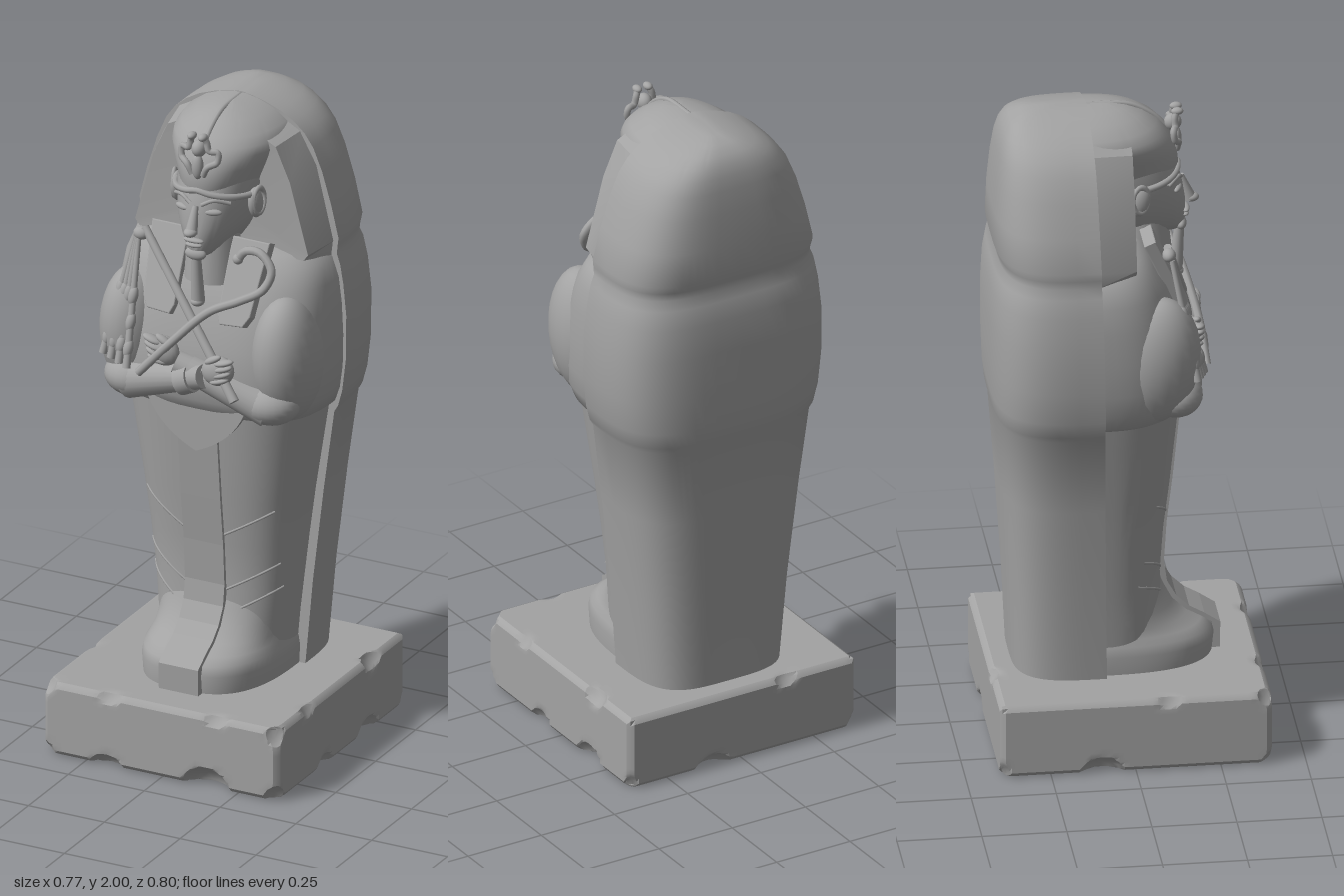
import * as THREE from 'three';
import { toCreasedNormals } from 'three/addons/utils/BufferGeometryUtils.js';

const stone = new THREE.MeshStandardMaterial({ color: 0xa3a3a3 });
stone.name = 'grey stone';
const V = (x, y, z) => new THREE.Vector3(x, y, z);

function add(parent, name, geo, pos = [0, 0, 0], scale = [1, 1, 1], rot = [0, 0, 0]) {
  const m = new THREE.Mesh(geo, stone);
  m.name = name;
  m.position.set(...pos);
  m.scale.set(...scale);
  m.rotation.set(...rot);
  parent.add(m);
  return m;
}

// Half superellipse sections stacked in y, closed by a flat face at the seam.
// rows: [y, half width, z of the far side]; seam(y) gives the flat face's z.
function halfLoft(rows, seam, power, n = 40) {
  const pos = [], idx = [], w = n + 1, flip = rows[0][2] < seam(rows[0][0]);
  const tri = (a, b, c) => flip ? idx.push(a, c, b) : idx.push(a, b, c);
  for (const [y, hw, z] of rows) {
    for (let i = 0; i <= n; i++) {
      const c = Math.cos(Math.PI * i / n), s = Math.max(0, Math.sin(Math.PI * i / n));
      pos.push(hw * Math.sign(c) * Math.abs(c) ** (2 / power), y, seam(y) + (z - seam(y)) * s ** (2 / power));
    }
  }
  for (let r = 0; r < rows.length - 1; r++) {
    for (let i = 0; i < w; i++) {
      const j = (i + 1) % w, a = r * w + i, b = r * w + j;
      tri(a, a + w, b);
      tri(b, a + w, b + w);
    }
  }
  [0, rows.length - 1].forEach((r, top) => {
    const c = pos.length / 3, [y, , z] = rows[r];
    pos.push(0, y, (seam(y) + z) / 2);
    for (let i = 0; i < w; i++) {
      const a = r * w + i, b = r * w + (i + 1) % w;
      top ? tri(c, b, a) : tri(c, a, b);
    }
  });
  const g = new THREE.BufferGeometry();
  g.setAttribute('position', new THREE.Float32BufferAttribute(pos, 3));
  g.setIndex(idx);
  return toCreasedNormals(g, 0.75);
}

const tube = (pts, r, seg = 24) =>
  new THREE.TubeGeometry(new THREE.CatmullRomCurve3(pts.map(p => V(...p))), seg, r, 8);
const ball = new THREE.SphereGeometry(1, 24, 16);

// Tapered limb between two points
function limb(parent, name, a, b, ra, rb) {
  const A = V(...a), B = V(...b), d = B.clone().sub(A);
  const m = add(parent, name, new THREE.CylinderGeometry(rb, ra, d.length(), 20), A.clone().add(B).multiplyScalar(0.5).toArray());
  m.quaternion.setFromUnitVectors(V(0, 1, 0), d.normalize());
  return m;
}

// Slab with scooped chips along its edges
function plinth() {
  const g = new THREE.BoxGeometry(0.775, 0.23, 0.8, 48, 14, 48), p = g.attributes.position;
  const chips = [ // x, y, z, radius
    [-0.4, 0.24, 0.41, 0.06], [0.41, 0.23, 0.42, 0.07], [-0.4, -0.01, 0.42, 0.06], [0.4, -0.01, 0.42, 0.07],
    [-0.18, -0.03, 0.43, 0.075], [0.15, -0.02, 0.43, 0.09], [-0.17, 0.25, 0.43, 0.06], [0.18, 0.25, 0.43, 0.06],
    [0.42, 0.25, 0.2, 0.06], [0.42, 0.25, -0.2, 0.07], [0.42, -0.02, -0.17, 0.08], [0.42, -0.02, 0.1, 0.07],
    [-0.42, 0.25, 0.1, 0.06], [-0.42, -0.02, -0.1, 0.08], [-0.15, 0.25, -0.43, 0.06], [0.1, -0.03, -0.43, 0.08],
    [0.41, 0.0, -0.42, 0.06], [-0.41, 0.0, -0.42, 0.06]];
  const v = V(0, 0, 0);
  for (let i = 0; i < p.count; i++) {
    v.fromBufferAttribute(p, i);
    v.y += 0.115;
    // worn edges
    const e = [0.3875 - Math.abs(v.x), 0.115 - Math.abs(v.y - 0.115), 0.4 - Math.abs(v.z)].filter(d => d < 0.006).length;
    if (e > 1) v.set(v.x * 0.982, 0.115 + (v.y - 0.115) * 0.95, v.z * 0.982);
    for (const [x, y, z, r] of chips) {
      const c = V(x, y, z), d = v.distanceTo(c);
      if (d < r) v.sub(c).multiplyScalar(r / d).add(c);
    }
    v.y = THREE.MathUtils.clamp(v.y, 0, 0.23);
    p.setXYZ(i, v.x, v.y, v.z);
  }
  return toCreasedNormals(g, 0.5);
}

export function createModel() {
  const model = new THREE.Group();
  model.name = 'sarcophagus';
  add(model, 'plinth', plinth());

  // Back shell
  const seam = y => -0.063 - 0.0195 * y;
  add(model, 'backShell', halfLoft([
    [0.22, 0.232, -0.33], [0.5, 0.255, -0.343], [0.8, 0.288, -0.362], [1.05, 0.32, -0.38], [1.07, 0.332, -0.388],
    [1.12, 0.345, -0.393], [1.22, 0.356, -0.396], [1.36, 0.356, -0.397], [1.46, 0.345, -0.392], [1.52, 0.334, -0.382],
    [1.55, 0.323, -0.37], [1.575, 0.325, -0.374], [1.6, 0.328, -0.384], [1.7, 0.303, -0.381], [1.8, 0.272, -0.373],
    [1.87, 0.242, -0.364], [1.91, 0.213, -0.355], [1.94, 0.178, -0.343], [1.965, 0.135, -0.325], [1.985, 0.08, -0.295],
    [1.995, 0.04, -0.26], [2, 0.008, -0.2]], seam, 3.6));

  // Wrapped legs and feet
  const inner = y => seam(y) - 0.015;
  const legRows = [[0.22, 0.2, 0.12], [0.4, 0.215, 0.118], [0.5, 0.226, 0.11], [0.65, 0.243, 0.12],
    [0.8, 0.262, 0.138], [1, 0.292, 0.158], [1.12, 0.31, 0.17]];
  add(model, 'legs', halfLoft(legRows, inner, 2.9));
  add(model, 'feet', halfLoft([[0.22, 0.212, 0.265], [0.285, 0.215, 0.272], [0.315, 0.21, 0.265], [0.335, 0.2, 0.235],
    [0.36, 0.197, 0.19], [0.4, 0.198, 0.148], [0.45, 0.2, 0.122], [0.5, 0.2, 0.1]], inner, 2.8));

  // Central strip running down the legs and over the feet
  const front = [[0.285, 0.225], [0.287, 0.312], [0.24, 0.344], [0.195, 0.37], [0.158, 0.405], [0.13, 0.455], [0.121, 0.52],
    [0.129, 0.65], [0.147, 0.8], [0.167, 1], [0.172, 1.08]];
  const strip = new THREE.Shape([...front, [0.05, 1.08], [0.05, 0.225]].map(q => new THREE.Vector2(...q)));
  add(model, 'centreStrip', new THREE.ExtrudeGeometry(strip, { depth: 0.13, bevelEnabled: false }),
    [0.065, 0, 0], [1, 1, 1], [0, -Math.PI / 2, 0]).scale.x = 1;

  // Fine wrapping seams across the legs
  const legZ = (x, y) => {
    const k = Math.max(1, legRows.findIndex(r => r[0] >= y)), a = legRows[k - 1], b = legRows[k], t = (y - a[0]) / (b[0] - a[0]);
    const hw = a[1] + t * (b[1] - a[1]), z = a[2] + t * (b[2] - a[2]), s = inner(y);
    return s + (z - s) * Math.max(0, 1 - (Math.abs(x) / hw) ** 2.9) ** (1 / 2.9);
  };
  for (const s of [-1, 1]) for (const y of [0.42, 0.5, 0.68]) {
    const pts = [];
    for (let i = 0; i <= 8; i++) {
      const x = 0.06 + 0.15 * i / 8, yy = y + 0.09 * i / 8;
      pts.push([s * x, yy, legZ(x, yy) - 0.001]);
    }
    add(model, 'wrappingSeam', tube(pts, 0.004));
  }

  // Chest and shoulders
  add(model, 'torso', halfLoft([[1.065, 0.295, 0.14], [1.085, 0.322, 0.172], [1.13, 0.337, 0.194], [1.2, 0.346, 0.2],
    [1.3, 0.347, 0.185], [1.4, 0.341, 0.158], [1.48, 0.33, 0.126], [1.54, 0.308, 0.09], [1.57, 0.27, 0.06], [1.59, 0.2, 0.03]],
  inner, 3));
  const apron = new THREE.Shape();
  apron.moveTo(-0.16, 1.11);
  apron.quadraticCurveTo(-0.12, 1.01, 0, 0.96);
  apron.quadraticCurveTo(0.12, 1.01, 0.16, 1.11);
  add(model, 'apron', new THREE.ExtrudeGeometry(apron, { depth: 0.05, bevelEnabled: false }), [0, 0, 0.127]);

  // Crossed arms with fists
  for (const s of [-1, 1]) {
    const arm = new THREE.Group();
    arm.name = s < 0 ? 'rightArm' : 'leftArm';
    model.add(arm);
    const dz = s < 0 ? 0.012 : -0.006, dy = s < 0 ? -0.01 : 0.01;
    add(arm, 'upperArm', ball, [s * 0.25, 1.27, 0.075], [0.1, 0.2, 0.13], [0.12, 0, 0]);
    add(arm, 'elbow', ball, [s * 0.225, 1.145, 0.135], [0.09, 0.065, 0.08]);
    const wrist = [-s * 0.05, 1.235 + dy, 0.208 + dz];
    limb(arm, 'forearm', [s * 0.23, 1.135, 0.15], wrist, 0.06, 0.036);
    limb(arm, 'bracelet', [s * 0.03, 1.205 + dy, 0.199 + dz], [-s * 0.01, 1.221 + dy, 0.203 + dz], 0.046, 0.043);
    add(arm, 'fist', ball, [-s * 0.095, 1.262 + dy, 0.206 + dz], [0.052, 0.046, 0.032], [0, 0, -s * 0.4]);
    for (let i = 0; i < 4; i++) {
      add(arm, 'finger', ball, [-s * (0.122 - i * 0.005), 1.298 + dy - i * 0.02, 0.222 + dz], [0.032, 0.0105, 0.018], [0, 0, -s * 0.3]);
    }
    add(arm, 'thumb', ball, [-s * 0.085, 1.3 + dy, 0.22 + dz], [0.03, 0.011, 0.014], [0, 0, -s * 0.5]);
  }

  // Flail and crook
  limb(model, 'flailHandle', [0.16, 1.175, 0.24], [-0.2, 1.61, 0.115], 0.015, 0.012);
  add(model, 'flailJoint', ball, [-0.21, 1.59, 0.118], [0.025, 0.02, 0.02]);
  for (let i = 0; i < 4; i++) {
    const a = [-0.215 - i * 0.004, 1.58, 0.125], b = [-0.205 - i * 0.031, 1.2 + i * 0.006, 0.222 - i * 0.01];
    limb(model, 'flailStrand', a, b, 0.008, 0.012);
    for (const t of [0.45, 0.65, 0.85]) {
      add(model, 'flailBead', ball, a.map((c, k) => c + (b[k] - c) * t), [0.015, 0.03, 0.015], [-0.25, 0, -0.1]);
    }
  }
  add(model, 'crook', tube([[-0.16, 1.2, 0.235], [-0.06, 1.31, 0.222], [0.05, 1.42, 0.19], [0.14, 1.465, 0.168], [0.205, 1.505, 0.145],
    [0.222, 1.56, 0.125], [0.18, 1.605, 0.115], [0.13, 1.6, 0.112], [0.105, 1.57, 0.112]], 0.013, 48));
  add(model, 'crookTip', ball, [0.105, 1.57, 0.112], [0.016, 0.016, 0.016]);

  // Headcloth: side wings, lappets and domed cap
  const wing = (z, pts) => pts.map(([x, y]) => [x, y, z]);
  const outer = wing(-0.11, [[0.31, 1.54], [0.315, 1.59], [0.255, 1.82], [0.2, 1.915], [0.1, 1.97], [0, 1.985]]);
  const face = wing(0.015, [[0.27, 1.56], [0.285, 1.58], [0.225, 1.8], [0.178, 1.905], [0.08, 1.955], [0, 1.965]]);
  const loop = half => [...half, ...half.slice(0, -1).reverse().map(([x, y, z]) => [-x, y, z])];
  const A = loop(outer), B = loop(face), n = A.length, wp = [], put = (...q) => q.forEach(p => wp.push(...p));
  for (let i = 0; i < n; i++) {
    const j = (i + 1) % n;
    put(A[i], A[j], B[i], A[j], B[j], B[i], [0, 1.7, 0.0], B[i], B[j]);
  }
  const wingGeo = new THREE.BufferGeometry();
  wingGeo.setAttribute('position', new THREE.Float32BufferAttribute(wp, 3));
  add(model, 'headclothWings', toCreasedNormals(wingGeo, 0.5));
  add(model, 'cap', halfLoft([[1.775, 0.128, 0.162], [1.8, 0.134, 0.17], [1.85, 0.158, 0.164], [1.89, 0.176, 0.147], [1.915, 0.174, 0.13],
    [1.94, 0.155, 0.106], [1.97, 0.112, 0.062], [1.988, 0.065, 0.015], [1.997, 0.02, -0.03]], () => -0.11, 2.2));
  add(model, 'capRidge', tube([[0, 1.9, 0.142], [0, 1.94, 0.106], [0, 1.97, 0.062], [0, 1.988, 0.015], [0, 1.992, -0.1]], 0.008));
  const band = [];
  for (let i = 0; i <= 12; i++) {
    const t = Math.PI * i / 12;
    band.push([0.13 * Math.cos(t), 1.79 - 0.03 * Math.abs(Math.cos(t)), 0.01 + 0.158 * Math.sin(t)]);
  }
  add(model, 'browBand', tube(band, 0.01, 48));
  for (const s of [-1, 1]) {
    const lappet = new THREE.Shape([[0.075, 0.13], [0.075, -0.1], [0.085, -0.125], [0.155, -0.12], [0.172, -0.09], [0.19, 0.13]]
      .map(([x, y]) => new THREE.Vector2(x, y)));
    const g = new THREE.ExtrudeGeometry(lappet, { depth: 0.03, bevelEnabled: true, bevelSize: 0.004, bevelThickness: 0.004 });
    if (s < 0) g.rotateY(Math.PI).translate(0, 0, 0.03);
    add(model, 'lappet', g, [0, 1.49, 0.105], [1, 1, 1], [-0.42, 0, 0]);
  }

  // Head and face
  limb(model, 'neck', [0, 1.48, 0.07], [0, 1.66, 0.06], 0.085, 0.075);
  add(model, 'head', halfLoft([[1.575, 0.028, 0.172], [1.583, 0.045, 0.184], [1.605, 0.067, 0.19], [1.64, 0.09, 0.191], [1.68, 0.108, 0.19],
    [1.73, 0.118, 0.182], [1.78, 0.124, 0.17], [1.83, 0.12, 0.15]], () => -0.02, 2.2));
  limb(model, 'nose', [0, 1.668, 0.206], [0, 1.745, 0.178], 0.019, 0.009);
  add(model, 'noseTip', ball, [0, 1.672, 0.21], [0.02, 0.014, 0.022]);
  add(model, 'upperLip', ball, [0, 1.64, 0.191], [0.033, 0.008, 0.013]);
  add(model, 'lowerLip', ball, [0, 1.625, 0.19], [0.027, 0.008, 0.013]);
  add(model, 'chin', ball, [0, 1.592, 0.178], [0.034, 0.02, 0.017]);
  for (const s of [-1, 1]) {
    add(model, 'eye', ball, [s * 0.05, 1.728, 0.164], [0.027, 0.01, 0.011], [0, s * 0.35, 0]);
    add(model, 'eyebrow', tube([[s * 0.018, 1.75, 0.177], [s * 0.05, 1.765, 0.165], [s * 0.09, 1.752, 0.131]], 0.006));
    add(model, 'ear', ball, [s * 0.128, 1.73, 0.045], [0.02, 0.05, 0.03], [0.2, 0, 0]);
    add(model, 'earRim', new THREE.TorusGeometry(0.03, 0.007, 8, 20), [s * 0.139, 1.738, 0.045], [0.8, 1.35, 1], [0, s * 1.3, 0]);
  }
  limb(model, 'beard', [0, 1.435, 0.163], [0, 1.59, 0.175], 0.021, 0.014);
  add(model, 'beardTip', ball, [0, 1.435, 0.165], [0.021, 0.015, 0.022]);

  // Brow ornament: a raised bird's head flanked by coiled serpents
  add(model, 'ornamentBody', ball, [0, 1.865, 0.165], [0.018, 0.04, 0.016]);
  add(model, 'ornamentHead', ball, [0, 1.92, 0.155], [0.022, 0.026, 0.026]);
  for (const s of [-1, 1]) {
    add(model, 'serpent', tube([[s * 0.018, 1.84, 0.165], [s * 0.034, 1.87, 0.168], [s * 0.058, 1.885, 0.155], [s * 0.058, 1.915, 0.15],
      [s * 0.034, 1.918, 0.158], [s * 0.026, 1.945, 0.158], [s * 0.018, 1.962, 0.164]], 0.01, 36));
    add(model, 'serpentHead', ball, [s * 0.018, 1.962, 0.166], [0.013, 0.011, 0.018]);
  }
  return model;
}
